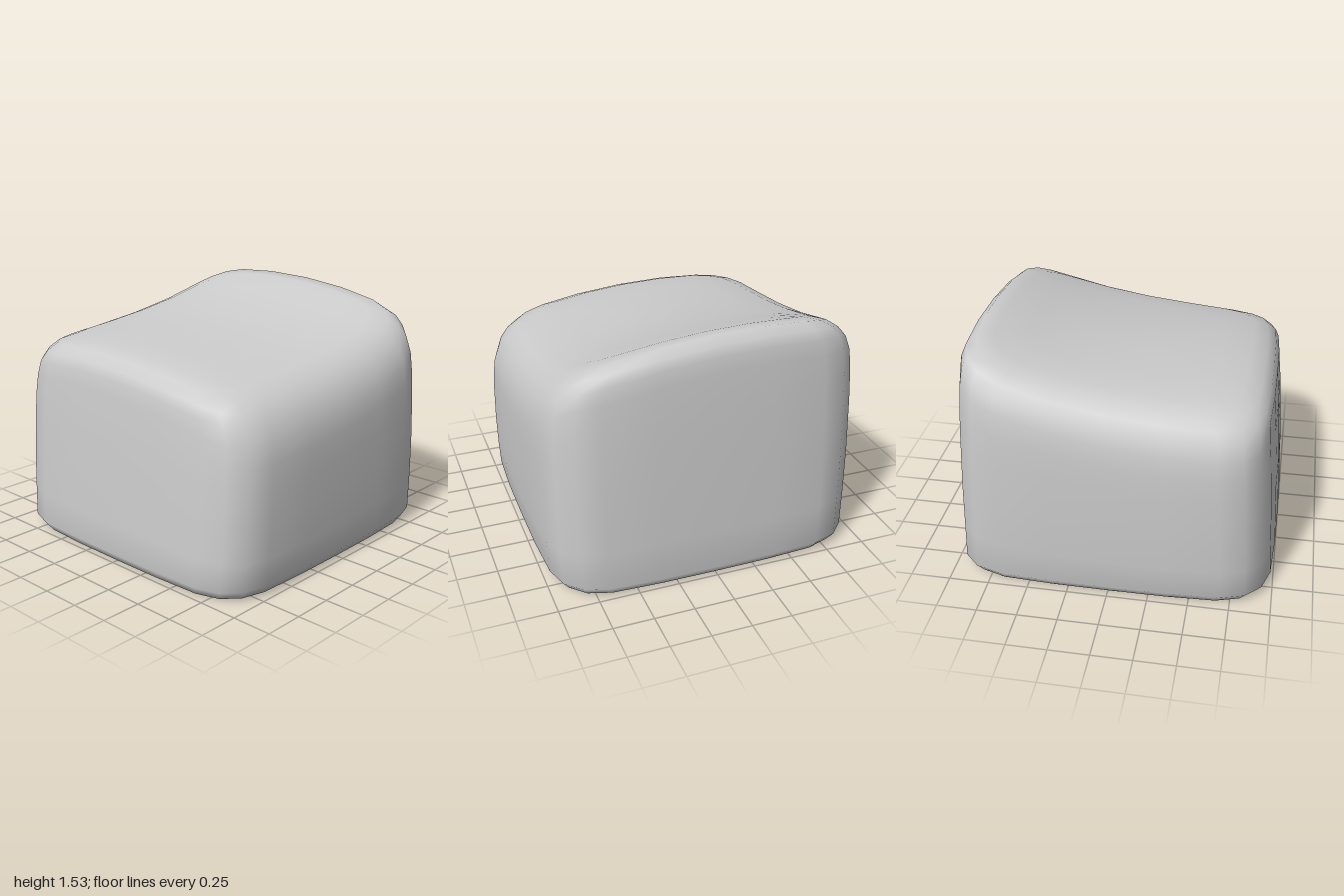
import * as THREE from 'three';

// Rounded-square plan outline: one quarter, turned four times (counter-clockwise from the front)
const QUARTER = [[0, 1], [0.37, 0.997], [0.69, 0.982], [0.84, 0.935], [0.935, 0.84], [0.982, 0.69], [0.997, 0.37]];
function planOutline() {
  const points = [];
  let quarter = QUARTER;
  for (let q = 0; q < 4; q++) {
    points.push(...quarter);
    quarter = quarter.map(([x, z]) => [z, -x]);
  }
  return points;
}

// Sculpted top: scooped and rising towards +x, arched from front to back
function topHeight(x, z) {
  const u = Math.min(x, 0.85);
  return 1.345 + 0.133 * u + 0.095 * u * u + 0.052 * u ** 3 - 0.11 * (z + 0.3) ** 2;
}

// Underside and lower bevel: [x scale, z scale, height]
const BASE = [[0, 0, 0], [0.5, 0.5, 0], [0.88, 0.87, 0], [0.96, 0.945, 0], [1, 0.985, 0.06]];
// Tapered walls: [x scale, z scale, fraction of the rim height]
const WALL = [[0.988, 0.995, 0.2], [0.975, 1, 0.45], [0.955, 0.998, 0.73], [0.943, 0.992, 0.88]];
// Rounded shoulder and top: [x scale, z scale, drop below the sculpted top]
const TOP = [[0.93, 0.98, 0.22], [0.921, 0.946, 0.13], [0.897, 0.897, 0.07], [0.846, 0.833, 0.025],
  [0.75, 0.735, 0], [0.56, 0.55, 0], [0.37, 0.37, 0], [0.18, 0.18, 0], [0, 0, 0]];

function bodyGeometry() {
  const outline = planOutline();
  const n = outline.length;
  const [rimX, rimZ, rimDrop] = TOP[0];
  const rings = [
    ...BASE.map(([sx, sz, y]) => ({ sx, sz, height: () => y })),
    ...WALL.map(([sx, sz, f]) => ({
      sx, sz,
      height: (px, pz) => 0.06 + f * (topHeight(px * rimX, pz * rimZ) - rimDrop - 0.06),
    })),
    ...TOP.map(([sx, sz, drop]) => ({ sx, sz, height: (px, pz) => topHeight(px * sx, pz * sz) - drop })),
  ];

  // Closed rings of vertices; the first and last collapse to a single point
  const positions = [];
  const starts = [];
  for (const { sx, sz, height } of rings) {
    starts.push(positions.length / 3);
    const points = sx === 0 ? [[0, 0]] : outline;
    for (const [px, pz] of points) positions.push(px * sx, height(px, pz), pz * sz);
  }
  const id = (ring, j) => starts[ring] + (rings[ring].sx === 0 ? 0 : j % n);

  const index = [];
  for (let i = 0; i < rings.length - 1; i++) {
    for (let j = 0; j < n; j++) {
      const a = id(i, j), b = id(i, j + 1), c = id(i + 1, j + 1), d = id(i + 1, j);
      if (a !== b) index.push(a, b, c);
      if (c !== d) index.push(a, c, d);
    }
  }
  const geometry = new THREE.BufferGeometry();
  geometry.setAttribute('position', new THREE.Float32BufferAttribute(positions, 3));
  geometry.setIndex(index);
  geometry.computeVertexNormals();
  return geometry;
}

export function createModel() {
  const model = new THREE.Group();
  model.name = 'sculptedBlock';
  const body = new THREE.Mesh(bodyGeometry(), new THREE.MeshStandardMaterial({ color: 0xcccccc }));
  body.name = 'body';
  model.add(body);
  return model;
}
